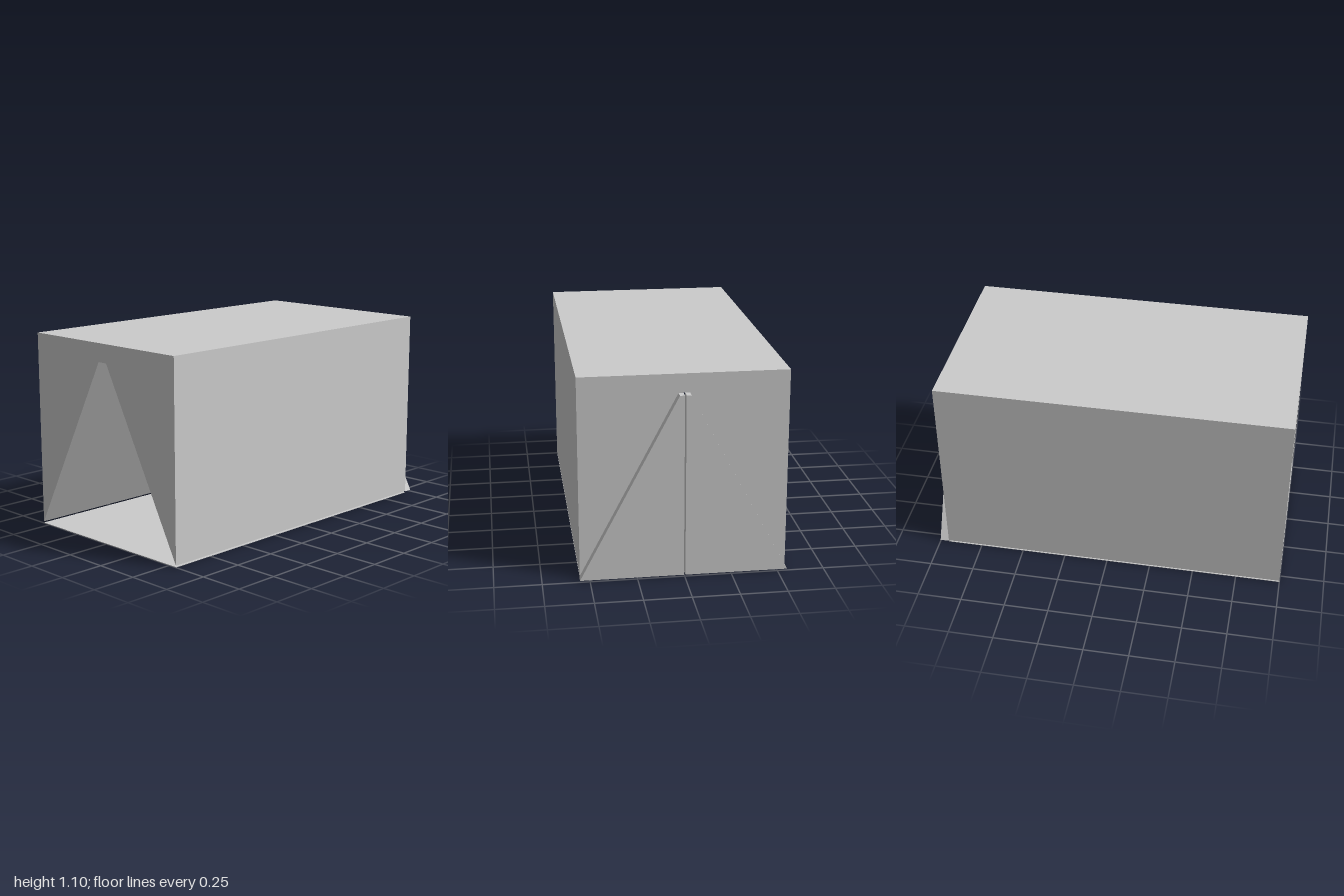
import * as THREE from 'three';

const material = new THREE.MeshStandardMaterial({ color: 0xcccccc, flatShading: true, side: THREE.DoubleSide });

// Extrudes a (z, y) profile along x, from x0 to x1
function extrudeAlongX(name, points, x0, x1) {
  const shape = new THREE.Shape(points.map(([z, y]) => new THREE.Vector2(-z, y)));
  const geometry = new THREE.ExtrudeGeometry(shape, { depth: x1 - x0, bevelEnabled: false });
  geometry.rotateY(Math.PI / 2);
  geometry.translate(x0, 0, 0);
  const mesh = new THREE.Mesh(geometry, material);
  mesh.name = name;
  return mesh;
}

export function createModel() {
  const group = new THREE.Group();
  group.name = 'tentShelter';
  const half = 0.55, top = 1.1, base = 0.01, ridge = 0.998, ridgeHalf = 0.03;
  const back = -1, front = 0.95;

  // Block with a tent-shaped tunnel running through its whole length
  group.add(extrudeAlongX('body', [
    [-half, base], [-half, top], [half, top], [half, base],
    [ridgeHalf, ridge], [-ridgeHalf, ridge],
  ], back, front));

  // Thin floor sheet, just clear of the body
  const floor = new THREE.Mesh(new THREE.BoxGeometry(front - back, 0.003, half * 2), material);
  floor.name = 'floor';
  floor.position.set((front + back) / 2, 0.0015, 0);
  group.add(floor);

  // Pair of door flaps with a narrow slit between them
  for (const [name, side] of [['frontDoor', 1], ['backDoor', -1]]) {
    group.add(extrudeAlongX(name, [
      [side * 0.004, 0.008], [side * 0.553, 0.008],
      [side * ridgeHalf, ridge], [side * 0.004, ridge],
    ], front, 1));
  }
  return group;
}
